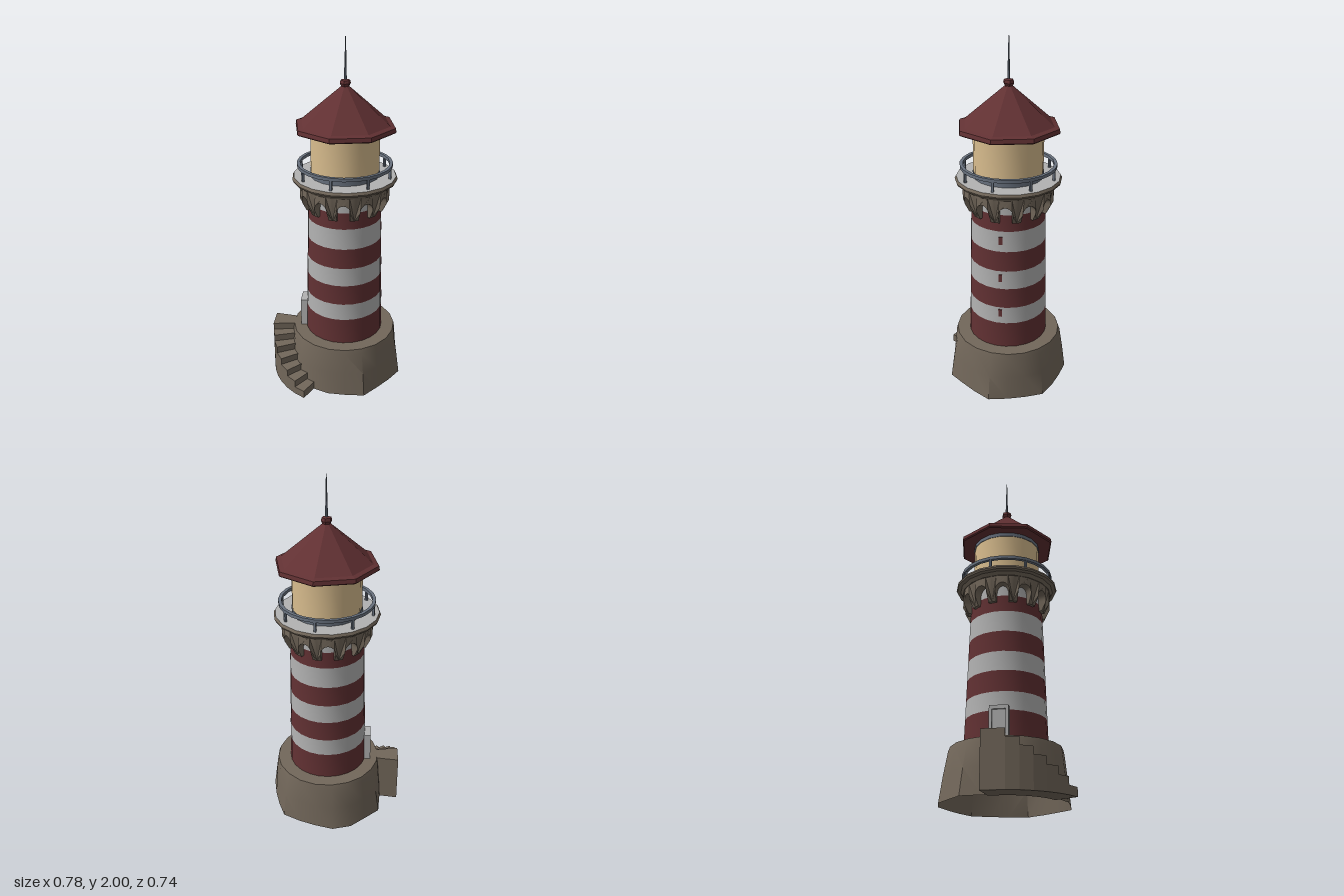
import * as THREE from 'three';
import { toCreasedNormals } from 'three/addons/utils/BufferGeometryUtils.js';

const mat = (name, color, side = THREE.FrontSide) => {
  const m = new THREE.MeshStandardMaterial({ color, side });
  m.name = name;
  return m;
};

export function createModel() {
  const red = mat('dark red', 0x623133, THREE.DoubleSide);
  const white = mat('grey white', 0xb2b2b2, THREE.DoubleSide);
  const stone = mat('brown stone', 0x72675a, THREE.DoubleSide);
  const cream = mat('lantern cream', 0xd9bd8e);
  const steel = mat('blue grey steel', 0x69727f);

  const model = new THREE.Group();
  model.name = 'lighthouse';
  const body = new THREE.Group();
  body.name = 'body';
  body.position.set(0.04, 0, -0.04); // tower axis
  model.add(body);

  const add = (name, geometry, material, parent = body) => {
    const mesh = new THREE.Mesh(geometry, material);
    mesh.name = name;
    parent.add(mesh);
    return mesh;
  };
  const turned = (name, profile, segments, material, crease = 0.5) => {
    const pts = profile.map(([r, y]) => new THREE.Vector2(r, y));
    return add(name, toCreasedNormals(new THREE.LatheGeometry(pts, segments), crease), material);
  };

  // Uneven rock base, open underneath, lofted from rings
  const radii = [0.33, 0.33, 0.355, 0.325, 0.326, 0.35, 0.326, 0.325, 0.347, 0.326,
    0.325, 0.348, 0.35, 0.337, 0.357, 0.325, 0.33, 0.335, 0.345, 0.328];
  const n = radii.length;
  const rings = [[0, 0], [0.14, 0.4], [0.265, 0.85], [0.29, 1.05]]; // height, blend to round top
  const pos = [], index = [];
  for (const [y, t] of rings) {
    radii.forEach((r0, i) => {
      const a = (i / n) * Math.PI * 2, r = THREE.MathUtils.lerp(r0, 0.302, t);
      pos.push(r * Math.sin(a), y, r * Math.cos(a));
    });
  }
  for (let i = 0; i < n; i++) { // ledge running in to the tower foot
    const a = (i / n) * Math.PI * 2;
    pos.push(0.2 * Math.sin(a), 0.292, 0.2 * Math.cos(a));
  }
  for (let k = 0; k < rings.length; k++) {
    for (let i = 0; i < n; i++) {
      const a = k * n + i, b = k * n + ((i + 1) % n);
      index.push(a, b, a + n, b, b + n, a + n);
    }
  }
  const rock = new THREE.BufferGeometry();
  rock.setAttribute('position', new THREE.Float32BufferAttribute(pos, 3));
  rock.setIndex(index);
  add('rockBase', toCreasedNormals(rock, 0.6), stone);

  // Curved stairs: a landing and six descending treads
  const stairs = new THREE.Group();
  stairs.name = 'stairs';
  body.add(stairs);
  const polar = (deg, r) => {
    const a = THREE.MathUtils.degToRad(deg);
    return new THREE.Vector2(-r * Math.cos(a), -r * Math.sin(a));
  };
  for (let i = 0; i < 7; i++) {
    const from = i === 0 ? 4 : 20 + (i - 1) * 9, to = 20 + i * 9;
    const wedge = new THREE.Shape([polar(from, 0.3), polar(from, 0.428), polar(to, 0.428), polar(to, 0.3)]);
    const step = new THREE.ExtrudeGeometry(wedge, { depth: 0.29 - i * 0.0405, bevelEnabled: false });
    step.rotateX(-Math.PI / 2);
    add(i === 0 ? 'landing' : 'step', step, stone, stairs);
  }

  // Striped tapering tower
  const towerRadius = (y) => 0.226 - ((y - 0.28) / 0.82) * 0.021;
  const bands = [0.28, 0.445, 0.545, 0.663, 0.772, 0.89, 1.01, 1.105, 1.22];
  for (let i = 0; i < bands.length - 1; i++) {
    const [lo, hi] = [bands[i], bands[i + 1]];
    turned(i % 2 ? 'whiteStripe' : 'redStripe',
      [[towerRadius(lo), lo], [towerRadius(hi), hi]], 24, i % 2 ? white : red);
  }

  // Slit windows on the left side
  for (const y of [0.51, 0.73, 0.955]) {
    const slit = add('slitWindow', new THREE.BoxGeometry(0.008, 0.045, 0.02), red);
    slit.position.set(towerRadius(y) - 0.003, y, -0.026);
    slit.rotation.y = 0.12;
  }

  // Door with raised frame, facing the landing
  const door = new THREE.Group();
  door.name = 'door';
  const phi = THREE.MathUtils.degToRad(12);
  door.position.set(-0.2 * Math.cos(phi), 0.285, 0.2 * Math.sin(phi));
  door.rotation.y = Math.atan2(-Math.cos(phi), Math.sin(phi));
  body.add(door);
  const frame = new THREE.Shape([[-0.05, 0], [-0.035, 0], [-0.035, 0.155], [0.035, 0.155],
    [0.035, 0], [0.05, 0], [0.05, 0.175], [-0.05, 0.175]].map(([x, y]) => new THREE.Vector2(x, y)));
  add('doorFrame', new THREE.ExtrudeGeometry(frame, { depth: 0.055, bevelEnabled: false }), white, door);
  add('doorPanel', new THREE.BoxGeometry(0.07, 0.155, 0.04), white, door).position.set(0, 0.0775, 0.024);

  // Arched corbels: one flat bay, bent round the tower
  const bays = 12, half = Math.PI / bays;
  const arch = new THREE.Shape();
  arch.moveTo(-half, 1.065);
  arch.lineTo(-0.157, 1.065);
  arch.lineTo(-0.157, 1.12);
  arch.absellipse(0, 1.12, 0.157, 0.045, Math.PI, 0, true);
  arch.lineTo(0.157, 1.065);
  arch.lineTo(half, 1.065);
  for (let i = 0; i <= 4; i++) arch.lineTo(half - (i * half) / 2, 1.215);
  const bay = new THREE.ExtrudeGeometry(arch, { depth: 1, bevelEnabled: false, curveSegments: 6 });
  const p = bay.attributes.position;
  for (let i = 0; i < p.count; i++) {
    const a = p.getX(i), y = p.getY(i);
    const outer = 0.222 + 0.028 * THREE.MathUtils.clamp((y - 1.065) / 0.055, 0, 1);
    const r = THREE.MathUtils.lerp(0.2, outer, p.getZ(i));
    p.setXYZ(i, r * Math.sin(a), y, r * Math.cos(a));
  }
  const bentBay = toCreasedNormals(bay, 0.4);
  for (let i = 0; i < bays; i++) {
    add('corbelArch', bentBay, stone).rotation.y = (i + 0.5) * 2 * half;
  }

  // Gallery deck
  turned('galleryRim', [[0.2, 1.205], [0.255, 1.207], [0.268, 1.226], [0.288, 1.23], [0.292, 1.24], [0.284, 1.254]], 18, stone);
  turned('galleryFloor', [[0.284, 1.254], [0.18, 1.256]], 18, white);

  // Railing
  turned('handrail', [[0.246, 1.308], [0.264, 1.308], [0.264, 1.326], [0.246, 1.326], [0.246, 1.308]], 24, steel);
  for (let i = 0; i < 8; i++) {
    const a = (i * Math.PI) / 4;
    const post = add('railPost', new THREE.BoxGeometry(0.013, 0.065, 0.013), steel);
    post.position.set(0.255 * Math.sin(a), 1.28, 0.255 * Math.cos(a));
    post.rotation.y = a;
  }

  // Lantern room
  turned('lantern', [[0.19, 1.25], [0.19, 1.53]], 18, cream);
  turned('lanternTopRing', [[0.19, 1.498], [0.193, 1.498], [0.193, 1.52]], 18, steel);
  turned('lanternFootRing', [[0.193, 1.25], [0.193, 1.282], [0.19, 1.282]], 18, steel);

  // Eight-sided roof, knob and spire
  turned('roof', [[0.17, 1.525], [0.275, 1.512], [0.282, 1.518], [0.278, 1.54], [0.25, 1.547], [0.018, 1.747]], 8, red, 0.1);
  turned('roofKnob', [[0.016, 1.735], [0.03, 1.76], [0.026, 1.777], [0, 1.783]], 6, red, 0.1);
  turned('spire', [[0.008, 1.775], [0.006, 1.85], [0.002, 2]], 6, steel);

  return model;
}
